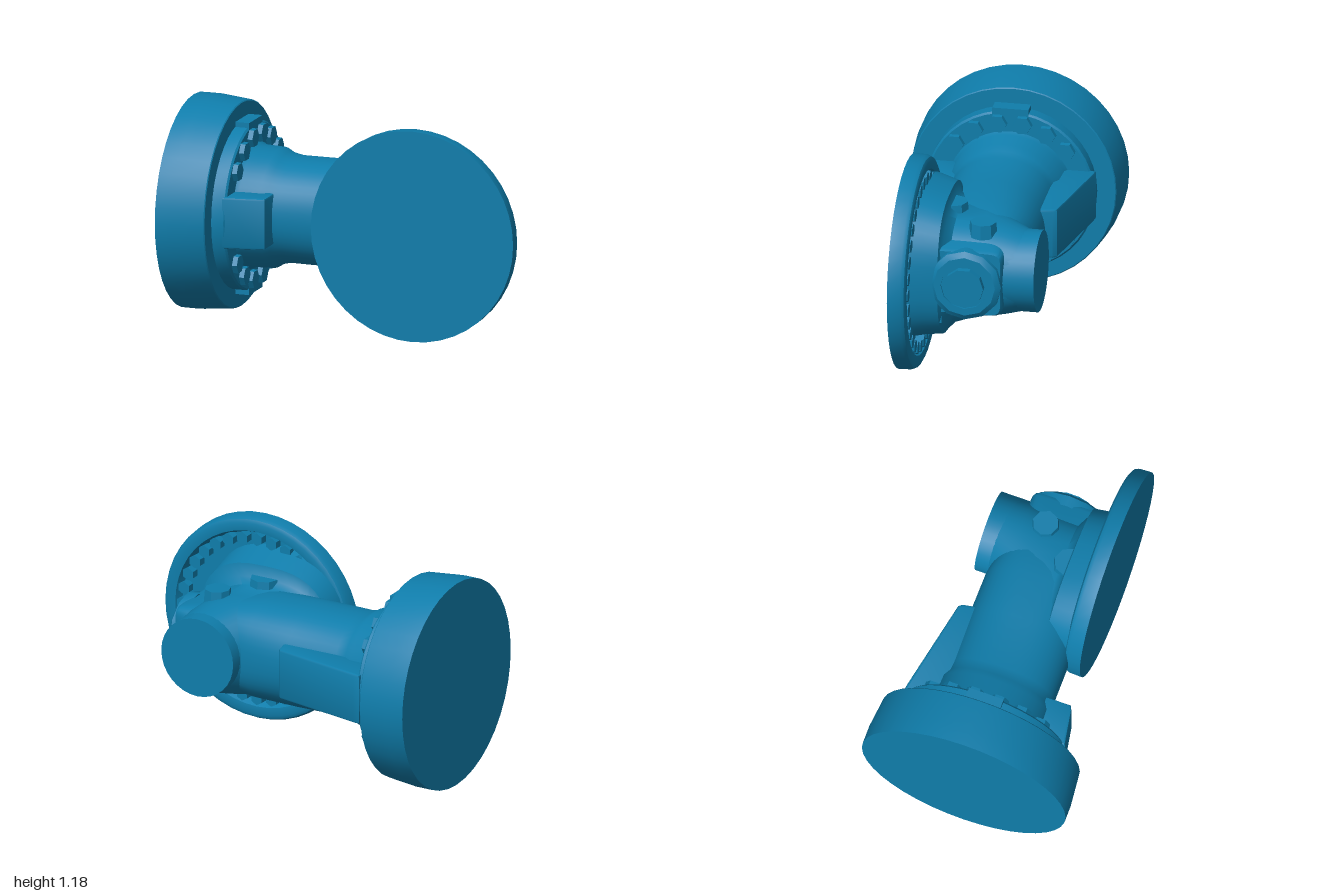
import * as THREE from 'three';
import { toCreasedNormals } from 'three/addons/utils/BufferGeometryUtils.js';

const CY = 0.59;   // height of the input shaft axis
const DX = 0.41;   // x of the output disc axis
const material = new THREE.MeshStandardMaterial({ color: 0x0f7dab });

export function createModel() {
  const model = new THREE.Group();

  function add(name, geometry, parent = model, crease = 0.6) {
    const mesh = new THREE.Mesh(toCreasedNormals(geometry, crease), material);
    mesh.name = name;
    parent.add(mesh);
    return mesh;
  }

  // Skin through rounded-box sections [t, y0, y1, z0, z1, squareness] along x
  function loft(sections, sides = 40) {
    const pos = [], idx = [];
    const power = (v, n) => Math.sign(v) * Math.abs(v) ** (2 / n);
    for (const [t, y0, y1, z0, z1, n] of sections) {
      for (let j = 0; j < sides; j++) {
        const a = (j / sides) * Math.PI * 2;
        pos.push(t,
          (y0 + y1) / 2 + power(Math.cos(a), n) * (y1 - y0) / 2,
          (z0 + z1) / 2 + power(Math.sin(a), n) * (z1 - z0) / 2);
      }
    }
    const last = sections.length - 1;
    for (let i = 0; i < last; i++) {
      for (let j = 0; j < sides; j++) {
        const k = (j + 1) % sides, p = i * sides, q = p + sides;
        idx.push(p + j, p + k, q + j, p + k, q + k, q + j);
      }
    }
    // end caps
    for (const i of [0, last]) {
      const [t, y0, y1, z0, z1] = sections[i], c = pos.length / 3;
      pos.push(t, (y0 + y1) / 2, (z0 + z1) / 2);
      for (let j = 0; j < sides; j++) {
        const a = i * sides + j, b = i * sides + (j + 1) % sides;
        if (i) idx.push(c, a, b); else idx.push(c, b, a);
      }
    }
    const g = new THREE.BufferGeometry();
    g.setAttribute('position', new THREE.Float32BufferAttribute(pos, 3));
    g.setIndex(idx);
    return g;
  }

  // Turned part from [radius, position] pairs, listed from low to high position
  const lathe = (points, sides = 40) =>
    new THREE.LatheGeometry(points.map(p => new THREE.Vector2(...p)), sides);
  const alongX = g => g.rotateZ(-Math.PI / 2).translate(0, CY, 0);
  const alongZ = g => g.rotateX(Math.PI / 2).translate(DX, CY, 0);
  const disc = (r, a, b, sides) => lathe([[0, a], [r, a], [r, b], [0, b]], sides);

  // Prism with an outline in the x, -z plane between two heights
  function prism(outline, y0, y1) {
    const shape = new THREE.Shape(outline.map(([x, z]) => new THREE.Vector2(x, -z)));
    const b = 0.012;
    return new THREE.ExtrudeGeometry(shape, {
      depth: y1 - y0 - 2 * b, bevelEnabled: true, bevelSize: b, bevelOffset: -b,
      bevelThickness: b, bevelSegments: 2,
    }).rotateX(-Math.PI / 2).translate(0, y0 + b, 0);
  }

  // Input flange and its bolting ring
  add('inputFlange', alongX(lathe([[0, -1], [0.588, -1], [0.588, -0.9], [0.57, -0.725],
    [0.565, -0.72], [0, -0.72]])));
  add('boltingRing', alongX(lathe([[0, -0.73], [0.465, -0.73], [0.465, -0.65],
    [0.455, -0.64], [0, -0.64]])));
  for (const s of [-1, 1]) {
    add('ringPad', new THREE.BoxGeometry(0.08, 0.1, 0.2).translate(-0.68, CY + s * 0.43, 0));
  }

  // Flange bolts, grouped above and below the axis
  const flangeBolts = new THREE.Group();
  flangeBolts.name = 'flangeBolts';
  model.add(flangeBolts);
  for (const s of [-1, 1]) {
    for (const deg of [-50, -30, -10, 10, 30, 50]) {
      const a = deg * Math.PI / 180;
      add('flangeBolt', new THREE.CylinderGeometry(0.052, 0.055, 0.035, 6).rotateZ(-Math.PI / 2)
        .translate(-0.63, CY + s * 0.4 * Math.cos(a), 0.4 * Math.sin(a)), flangeBolts);
    }
  }

  // Main housing: round neck that blends into a square nose
  add('housing', loft([
    [-0.66, 0.23, 0.95, -0.36, 0.36, 2],
    [-0.62, 0.255, 0.925, -0.335, 0.335, 2],
    [-0.5, 0.26, 0.92, -0.33, 0.33, 2],
    [-0.46, 0.285, 0.895, -0.305, 0.305, 2.1],
    [-0.4, 0.3, 0.88, -0.3, 0.3, 2.2],
    [-0.1, 0.3, 0.88, -0.3, 0.3, 2.3],
    [0.15, 0.31, 0.875, -0.295, 0.29, 2.5],
    [0.35, 0.34, 0.85, -0.26, 0.28, 3],
    [0.52, 0.39, 0.79, -0.21, 0.26, 5],
    [0.63, 0.4, 0.78, -0.2, 0.25, 9],
    [0.65, 0.41, 0.77, -0.19, 0.24, 9],
  ], 48), model, 0.75);

  // Side bosses on the neck: short one in front, long tapered one behind
  add('frontBoss', prism([[-0.66, 0.2], [-0.43, 0.2], [-0.43, 0.41], [-0.46, 0.425],
    [-0.66, 0.46]], 0.45, 0.735));
  add('rearRib', prism([[-0.66, -0.2], [-0.66, -0.47], [-0.62, -0.465], [-0.1, -0.36],
    [-0.085, -0.34], [-0.06, -0.2]], 0.45, 0.735));

  // Gear case: flares towards the output disc, narrows towards the rear
  // (sections run along z; the last pair of each section is -x)
  add('gearCase', loft([
    [-0.3, 0.37, 0.81, -0.63, -0.19, 2],
    [-0.18, 0.33, 0.84, -0.63, -0.1, 2.2],
    [-0.05, 0.3, 0.86, -0.62, 0.04, 2.4],
    [0.1, 0.24, 0.87, -0.61, 0.1, 2.6],
    [0.135, 0.21, 0.9, -0.66, 0.11, 2.7],
    [0.15, 0.19, 0.97, -0.69, 0.12, 2.7],
    [0.24, 0.175, 1.0, -0.7, 0.14, 2.6],
    [0.33, 0.15, 1.03, -0.71, 0.15, 2.5],
  ]).rotateY(-Math.PI / 2), model, 0.75);

  // Round boss with a flat face at the rear
  add('rearBoss', alongZ(disc(0.225, -0.37, 0, 32)));

  // Output disc with a recessed seat for its bolts
  add('outputDisc', alongZ(lathe([[0, 0.32], [0.49, 0.32], [0.51, 0.275], [0.555, 0.27],
    [0.575, 0.28], [0.585, 0.3], [0.588, 0.37], [0, 0.37]], 44)));
  const discBolts = new THREE.Group();
  discBolts.name = 'discBolts';
  model.add(discBolts);
  const count = 32;
  for (let i = 0; i < count; i++) {
    const a = (i / count) * Math.PI * 2;
    add('discBolt', new THREE.CylinderGeometry(0.037, 0.037, 0.05, 6).rotateX(Math.PI / 2)
      .translate(DX + 0.465 * Math.cos(a), CY + 0.465 * Math.sin(a), 0.298), discBolts);
  }

  // Stepped cover and nut on the nose
  add('noseCover', alongX(lathe([[0, 0.62], [0.2, 0.62], [0.2, 0.68], [0.17, 0.7],
    [0.13, 0.7], [0.13, 0.69], [0, 0.69]], 12)));
  add('noseNut', alongX(disc(0.11, 0.66, 0.727, 10)));
  add('noseLug', new THREE.BoxGeometry(0.12, 0.06, 0.09).translate(0.58, 0.37, 0.18));

  // Filler plugs on top of the case
  for (const [x, z, r, y] of [[0.46, -0.06, 0.08, 0.84], [0.28, 0.14, 0.09, 0.87]]) {
    add('fillerPlug', new THREE.CylinderGeometry(r * 0.9, r, 0.08, 8).translate(x, y, z));
  }

  return model;
}
